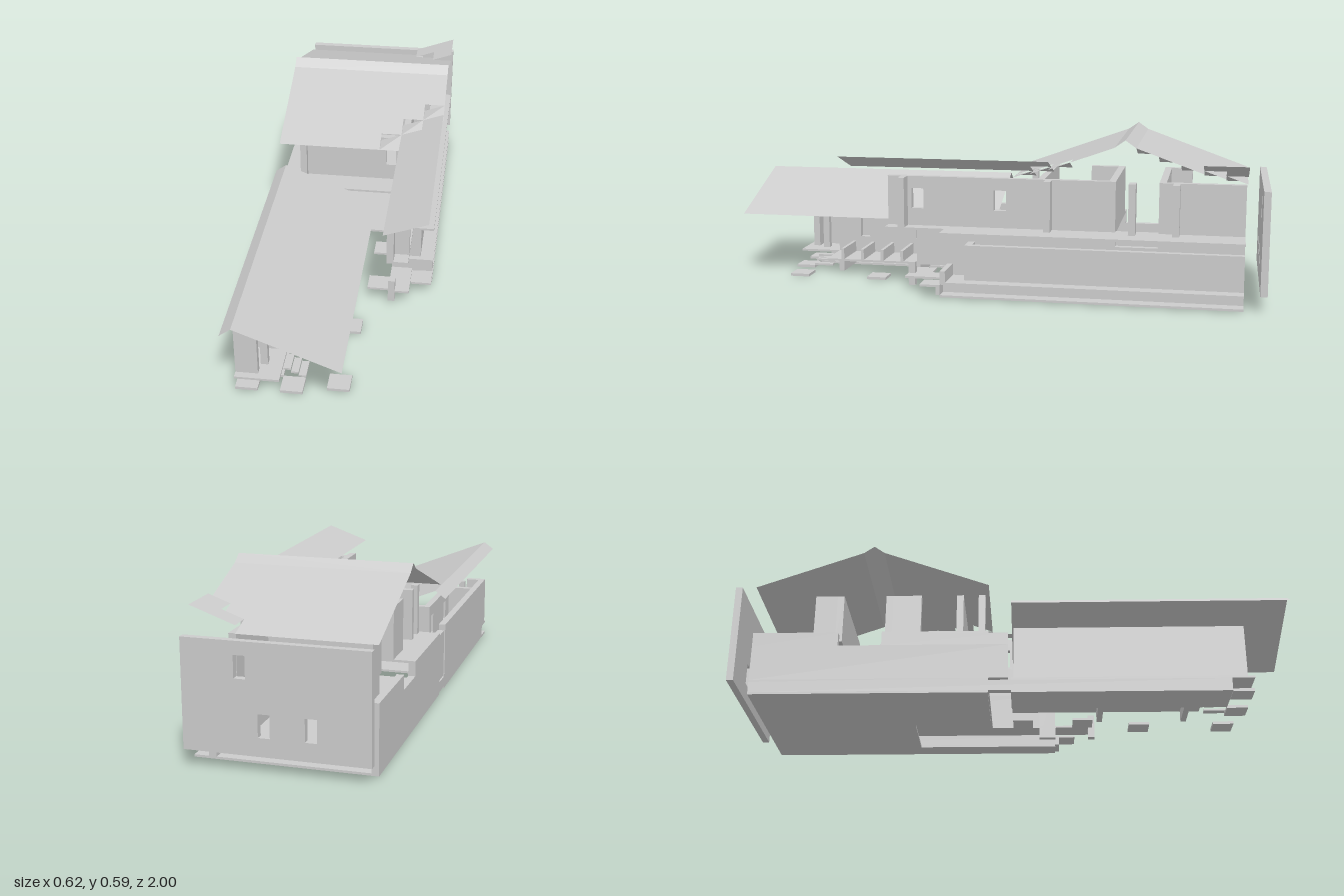
import * as THREE from 'three';

const grey = new THREE.MeshStandardMaterial({ color: 0xcccccc, flatShading: true });
const sheet = new THREE.MeshStandardMaterial({ color: 0xcccccc, flatShading: true, side: THREE.DoubleSide });

export function createModel() {
  const root = new THREE.Group();
  const group = (name) => {
    const g = new THREE.Group();
    g.name = name;
    root.add(g);
    return g;
  };
  const add = (parent, name, geo, mat = grey) => {
    const m = new THREE.Mesh(geo, mat);
    m.name = name;
    parent.add(m);
    return m;
  };
  // Box from its bounds
  const box = (parent, name, x0, x1, y0, y1, z0, z1) =>
    add(parent, name, new THREE.BoxGeometry(x1 - x0, y1 - y0, z1 - z0))
      .position.set((x0 + x1) / 2, (y0 + y1) / 2, (z0 + z1) / 2);
  // Upright wall with rectangular openings [u, v, width, height]
  const pierced = (u0, u1, v0, v1, depth, holes) => {
    const rect = (T, a, b, c, d) => {
      const p = new T();
      p.moveTo(a, c); p.lineTo(b, c); p.lineTo(b, d); p.lineTo(a, d); p.closePath();
      return p;
    };
    const s = rect(THREE.Shape, u0, u1, v0, v1);
    for (const [u, v, w, h] of holes) s.holes.push(rect(THREE.Path, u, u + w, v, v + h));
    return new THREE.ExtrudeGeometry(s, { depth, bevelEnabled: false });
  };
  const crossWall = (parent, name, x0, x1, y0, y1, z0, holes) =>
    add(parent, name, pierced(x0, x1, y0, y1, 0.025, holes)).position.z = z0;
  const sideWall = (parent, name, z0, z1, y0, y1, x0, holes) => {
    const flipped = holes.map(([z, y, w, h]) => [-z - w, y, w, h]);
    const m = add(parent, name, pierced(-z1, -z0, y0, y1, 0.025, flipped));
    m.rotation.y = Math.PI / 2;
    m.position.x = x0;
  };
  // Thin polygon of three or four corners
  const panel = (parent, name, ...pts) => {
    const g = new THREE.BufferGeometry();
    g.setAttribute('position', new THREE.Float32BufferAttribute(pts.flat(), 3));
    g.setIndex(pts.length === 4 ? [0, 1, 2, 0, 2, 3] : [0, 1, 2]);
    g.computeVertexNormals();
    add(parent, name, g, sheet);
  };

  // Main gable roof, stepped where it meets the side roof; both halves mirrored about the ridge
  const main = group('mainRoof'), side = group('sideRoof');
  const c = 0.077, E = -0.08, S = 0.36;
  const H = (z) => 0.425 + S * (E - z);
  const L = (x) => 0.425 + S * (x - c);
  for (const back of [false, true]) {
    const P = (x, y, z) => [x, y, back ? -1.005 - z : z];
    const slope = (name, x0, x1, z0, z1) =>
      panel(main, name, P(x0, H(z1), z1), P(x1, H(z1), z1), P(x1, H(z0), z0), P(x0, H(z0), z0));
    slope('roofSlope', -0.308, c, -0.465, E);
    panel(main, 'ridgeStrip', P(-0.308, H(-0.465), -0.465), P(0.308, H(-0.465), -0.465),
      P(0.308, 0.59, -0.5025), P(-0.308, 0.59, -0.5025));
    for (let k = 0; k < 3; k++) {
      const x0 = c * (k + 1), x1 = x0 + c, z1 = E - c * k, z0 = z1 - c;
      slope('roofStep', x0, x1, -0.465, back ? z1 : z0);
      // Folded corner cell with both outer corners drooping
      const a = P(x0, H(z1), z1), b = P(x1, H(z0), z0);
      if (!back) panel(main, 'cornerMain', a, P(x1, H(z1), z1), b);
      panel(side, 'cornerSide', a, b, P(x0, H(z1), z0));
      if (k > 0) {
        const end = back ? E : 0.535;
        panel(side, 'sideSlope', P(x0, L(x0), end), P(x1, L(x1), end), P(x1, L(x1), z1), P(x0, L(x0), z1));
      }
    }
  }
  // Sloping teeth hanging under the rear slope
  for (let k = 0; k < 2; k++) {
    const z = -0.54 - c * k, y = H(-1.005 - z);
    panel(side, 'roofTooth', [0.231, y - 0.028, z - c], [0.308, y, z], [0.231, y - 0.028, z]);
  }

  // Low lopsided gable over the front wing
  const wingRoof = group('wingRoof');
  const strip = (name, xa, ya, xb, yb) =>
    panel(wingRoof, name, [xa, ya, 1], [xb, yb, 1], [xb, yb, 0], [xa, ya, 0]);
  strip('shortSlope', -0.308, 0.352, -0.27, 0.38);
  strip('longSlope', -0.27, 0.38, 0.077, 0.241);

  // Rear wall standing clear of the house
  crossWall(root, 'rearWall', -0.308, 0.308, 0.058, 0.425, -1,
    [[0.018, 0.12, 0.039, 0.077], [-0.135, 0.12, 0.039, 0.077], [0.095, 0.305, 0.038, 0.075]]);

  // Slabs and floors
  const floors = group('floors');
  box(floors, 'groundSlab', -0.308, 0.231, 0.003, 0.011, -0.92, -0.36);
  box(floors, 'groundSlabFront', -0.308, 0, 0.003, 0.011, -0.36, -0.08);
  box(floors, 'groundStripRight', 0.231, 0.308, 0.003, 0.011, -0.92, 0.16);
  box(floors, 'groundStripLeft', -0.308, -0.155, 0.003, 0.011, 0, 0.77);
  box(floors, 'mainFloor', -0.308, 0.308, 0.05, 0.058, -0.92, -0.08);
  box(floors, 'rightWalk', 0.154, 0.308, 0.05, 0.058, -0.08, 0.16);
  box(floors, 'wingFloor', -0.308, 0, 0.05, 0.058, 0, 0.69);
  box(floors, 'porchFloor', -0.308, -0.155, 0.05, 0.058, 0.69, 0.85);
  box(floors, 'balconyFloor', 0.154, 0.308, 0.233, 0.241, -0.92, 0.16);
  box(floors, 'upperWalk', 0.154, 0.231, 0.233, 0.241, 0.16, 0.385);
  box(floors, 'upperFloor', -0.308, 0.154, 0.233, 0.241, -0.46, -0.08);
  for (const z of [0, 0.225]) box(floors, 'linkSlab', 0.077, 0.154, 0.05, 0.058, z, z + 0.075);

  // Left outer walls
  const left = group('leftWalls');
  box(left, 'leftBase', -0.308, -0.283, 0.011, 0.05, -0.92, 0.77);
  box(left, 'leftLowerWall', -0.308, -0.283, 0.058, 0.188, -0.92, -0.01);
  box(left, 'leftRearUpper', -0.308, -0.283, 0.188, 0.24, -0.92, -0.615);
  box(left, 'leftFrontUpper', -0.308, -0.283, 0.188, 0.233, -0.46, -0.01);
  box(left, 'wingOuterWall', -0.308, -0.283, 0.058, 0.25, 0.01, 0.825);

  // Right outer wall, stopping short of the balcony, and the inner wall carrying it
  const right = group('rightWalls');
  box(right, 'rightLowerWall', 0.231, 0.257, 0.058, 0.187, -0.92, 0.08);
  box(right, 'rightBase', 0.231, 0.257, 0.011, 0.05, -0.92, 0.16);
  box(right, 'rightInnerWall', 0.154, 0.179, 0.058, 0.187, -0.92, 0.1);
  box(right, 'innerWallTopFront', 0.154, 0.179, 0.187, 0.233, -0.46, 0.1);
  box(right, 'innerWallTopRear', 0.154, 0.179, 0.187, 0.233, -0.92, -0.615);
  box(right, 'lowerEndWall', 0.179, 0.231, 0.058, 0.187, 0.055, 0.08);
  box(right, 'pier', 0.154, 0.179, 0.011, 0.233, 0.1, 0.16);
  box(right, 'frontStep', 0.231, 0.308, 0.04, 0.048, 0.16, 0.235);
  box(right, 'frontRiser', 0.231, 0.308, 0.011, 0.04, 0.16, 0.175);
  box(right, 'frontLanding', 0.154, 0.231, 0.05, 0.058, 0.16, 0.31);
  box(right, 'landingParapet', 0.154, 0.308, 0.058, 0.1, 0.14, 0.16);
  box(right, 'landingPier', 0.154, 0.179, 0.011, 0.1, 0.285, 0.31);

  // Upper storey
  const upper = group('upperStorey');
  sideWall(upper, 'upperSideWall', -0.46, 0.385, 0.241, 0.425, 0.154,
    [[0.25, 0.305, 0.045, 0.075], [-0.06, 0.305, 0.045, 0.075]]);
  box(upper, 'upperRearSideWall', 0.154, 0.179, 0.241, 0.425, -0.92, -0.615);
  for (const z of [0.31, -0.23, -0.535, -0.69])
    box(upper, 'crossFin', 0.179, 0.231, 0.241, 0.425, z, z + 0.025);
  crossWall(upper, 'upperFrontWall', -0.231, 0.154, 0.241, 0.425, -0.2, [[0.095, 0.305, 0.038, 0.075]]);
  box(upper, 'upperMidWall', -0.231, 0.154, 0.241, 0.425, -0.46, -0.435);
  box(upper, 'upperRearWall', -0.231, 0.154, 0.241, 0.425, -0.64, -0.615);
  box(upper, 'upperRoomSide', -0.231, -0.206, 0.241, 0.425, -0.435, -0.33);
  box(upper, 'eavesPost', -0.231, -0.206, 0.241, 0.425, -0.12, -0.095);
  box(upper, 'rearRoomSide', -0.231, -0.206, 0.058, 0.425, -0.72, -0.64);

  // Front wing
  const wing = group('frontWing');
  sideWall(wing, 'wingFrontWall', 0.31, 0.69, 0.058, 0.24, -0.18,
    [[0.56, 0.12, 0.038, 0.077], [0.33, 0.12, 0.038, 0.077]]);
  sideWall(wing, 'wingRearWall', 0, 0.31, 0.058, 0.24, -0.025, [[0.15, 0.12, 0.038, 0.077]]);
  box(wing, 'wingCrossWall', -0.18, 0, 0.058, 0.24, 0.3, 0.325);
  box(wing, 'wingEndWall', -0.283, -0.18, 0.058, 0.24, 0.665, 0.69);
  box(wing, 'porchWall', -0.283, -0.231, 0.058, 0.25, 0.8, 0.825);
  box(wing, 'porchPost', -0.231, -0.206, 0.058, 0.25, 0.75, 0.775);
  for (const z of [0.38, 0.46, 0.54, 0.62]) box(wing, 'lowPartition', -0.155, 0, 0.058, 0.1, z, z + 0.012);
  for (const z of [0.31, 0.62]) box(wing, 'floorPier', -0.155, 0, 0.011, 0.05, z, z + 0.02);
  for (let i = 0; i < 3; i++)
    box(wing, 'porchStep', -0.103 - 0.026 * i, -0.077 - 0.026 * i, 0.011 + 0.013 * i, 0.018 + 0.013 * i, 0.695, 0.77);
  for (const [x, z] of [[0, 0.74], [0, 0.43], [-0.155, 0.77], [-0.308, 0.77]])
    box(wing, 'groundPad', x, x + 0.077, 0, 0.01, z, z + 0.075);

  return root;
}
